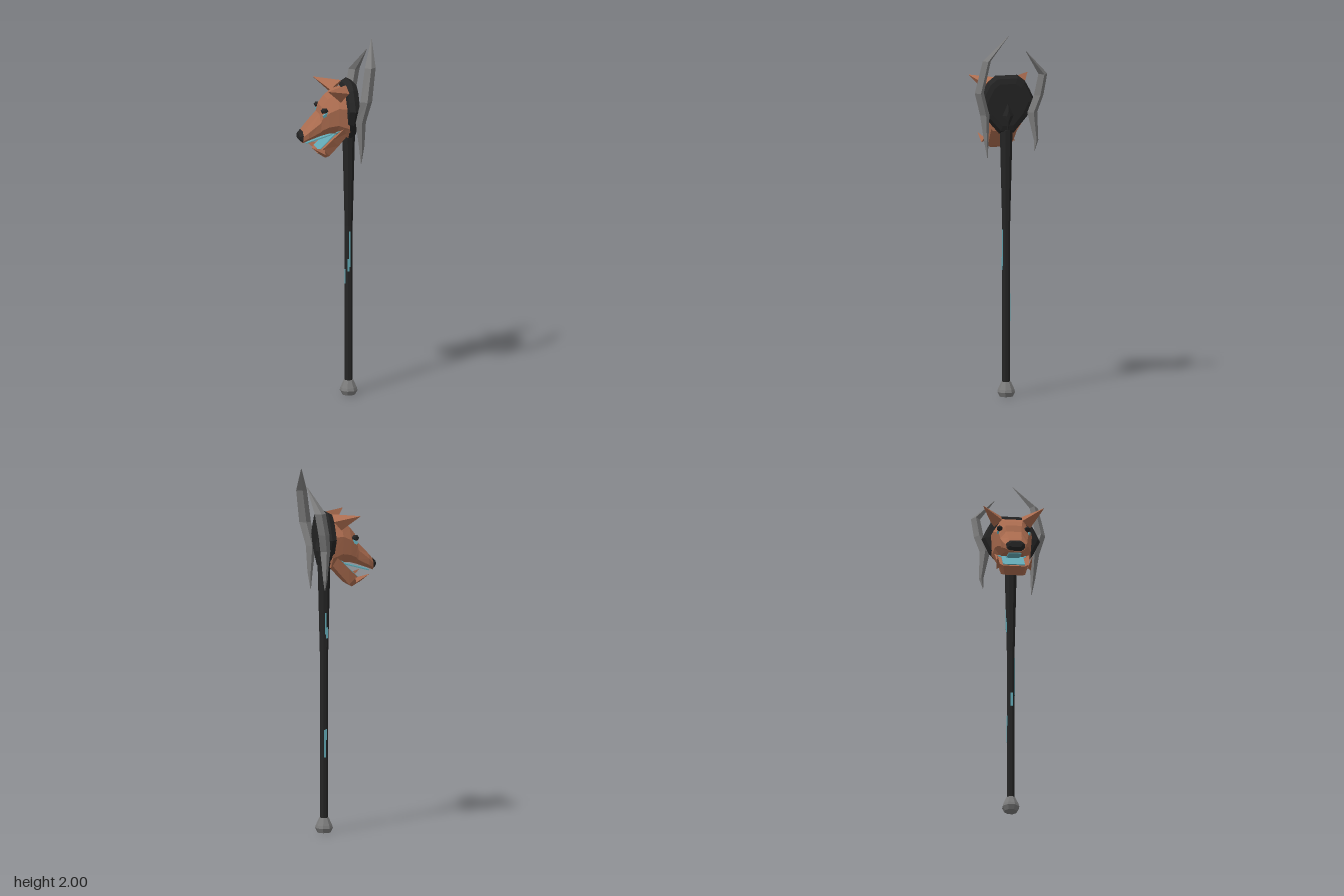
import * as THREE from 'three';

const mat = (name, color) => Object.assign(new THREE.MeshStandardMaterial({ color }), { name });
const V = (x, y, z) => new THREE.Vector3(x, y, z);
const SX = 0.079; // shaft axis

// Flat-faced copy of a geometry
function facet(geo) {
  const g = geo.index ? geo.toNonIndexed() : geo;
  g.computeVertexNormals();
  return g;
}

// Closed, flat-shaded skin over rings of equal point count
function loft(rings) {
  const tris = [];
  const n = rings[0].length;
  for (let r = 0; r < rings.length - 1; r++) {
    for (let i = 0; i < n; i++) {
      const j = (i + 1) % n;
      const [a, b, c, d] = [rings[r][i], rings[r][j], rings[r + 1][j], rings[r + 1][i]];
      tris.push([a, b, c], [a, c, d]);
    }
  }
  const last = rings[rings.length - 1];
  for (let i = 1; i < n - 1; i++) {
    tris.push([rings[0][0], rings[0][i + 1], rings[0][i]], [last[0], last[i], last[i + 1]]);
  }
  // Turn faces outward whatever the ring direction
  const o = rings[0][0];
  const volume = tris.reduce((s, [a, b, c]) =>
    s + a.clone().sub(o).dot(b.clone().sub(o).cross(c.clone().sub(o))), 0);
  const pts = tris.flatMap(([a, b, c]) => (volume < 0 ? [a, c, b] : [a, b, c]));
  return facet(new THREE.BufferGeometry().setFromPoints(pts));
}

// Head section across x: flat crown, wide cheeks, narrow underside
function headRing([x, top, bot, w]) {
  const h = top - bot;
  const half = [[0.55, top], [1, top - 0.35 * h], [0.92, bot + 0.22 * h], [0.6, bot]];
  const left = half.map(([k, y]) => V(x, y, k * w));
  const right = half.map(([k, y]) => V(x, y, -k * w)).reverse();
  return [...left, ...right];
}

// Diamond section of a horn blade
function hornRing([y, x0, x1, z0, z1]) {
  const x = (x0 + x1) / 2, z = (z0 + z1) / 2;
  return [V(x0, y, z), V(x, y, z1), V(x1, y, z), V(x, y, z0)];
}

export function createModel() {
  const dark = mat('blackWood', 0x242424);
  const brown = mat('brownHide', 0xab6c4f);
  const steel = mat('greyHorn', 0x7c7c7c);
  const teal = mat('tealGlow', 0x62a9b5);

  const model = new THREE.Group();
  model.name = 'wolfHeadStaff';
  const core = new THREE.Group();
  core.name = 'staffAssembly';
  core.position.z = 0.007;
  model.add(core);
  const add = (name, geo, material, parent = core) => {
    const m = new THREE.Mesh(geo, material);
    m.name = name;
    parent.add(m);
    return m;
  };
  const lathe = pts =>
    facet(new THREE.LatheGeometry(pts.map(p => new THREE.Vector2(...p)), 8)
      .rotateY(Math.PI / 8).translate(SX, 0, 0));

  // Shaft and pommel
  add('shaft', lathe([[0, 0.06], [0.022, 0.06], [0.022, 0.95], [0.033, 1.4], [0.035, 1.47], [0, 1.5]]), dark);
  add('pommel', lathe([[0, 0], [0.036, 0], [0.049, 0.025], [0.045, 0.04], [0.026, 0.082], [0, 0.082]]), steel);

  // Glowing inlays: [centre y, height, x offset, z]
  const inlays = [
    [0.82, 0.2, 0.001, 0.0205], [0.73, 0.07, -0.006, 0.0205],
    [1.15, 0.12, -0.002, -0.0255], [1.10, 0.06, -0.009, -0.0245],
    [0.49, 0.15, 0.001, -0.0205], [0.54, 0.06, -0.006, -0.0205],
  ];
  for (const [y, h, dx, z] of inlays) {
    add('shaftInlay', facet(new THREE.BoxGeometry(0.009, h, 0.004).translate(SX + dx, y, z)), teal);
  }
  add('sideInlay', facet(new THREE.BoxGeometry(0.005, 0.08, 0.012).translate(SX - 0.0205, 0.665, 0.004)), teal);

  // Backing shield: faceted disc, thinner toward its rim
  const outline = [[0.062, 1.768], [0.105, 1.735], [0.135, 1.68], [0.16, 1.625],
    [0.12, 1.54], [0.042, 1.45]];
  const rim = [...outline, ...outline.map(([z, y]) => [-z, y]).reverse()];
  const shieldRing = ([x, s]) => rim.map(([z, y]) => V(x, 1.61 + (y - 1.61) * s, z * s));
  add('shield', loft([[0.043, 0.72], [0.05, 0.9], [0.079, 1], [0.108, 0.9], [0.115, 0.72]].map(shieldRing)), dark);
  add('shieldBoss', loft([[0.112, 0.036, 0.08], [0.128, 0.01, 0.03]].map(([x, w, h]) =>
    [V(x, 1.55 + h, 0), V(x, 1.55, w), V(x, 1.55 - h, 0), V(x, 1.55, -w)])), dark);

  // Horns: [y, x near, x far, z inner, z outer]
  const horns = {
    leftHorn: [
      [1.325, 0.117, 0.121, 0.115, 0.119], [1.42, 0.105, 0.135, 0.112, 0.138],
      [1.56, 0.085, 0.142, 0.105, 0.158], [1.685, 0.102, 0.168, 0.143, 0.194],
      [1.865, 0.135, 0.196, 0.112, 0.158], [2, 0.199, 0.202, 0.023, 0.027]],
    rightHorn: [
      [1.352, 0.117, 0.121, -0.146, -0.15], [1.41, 0.108, 0.132, -0.145, -0.17],
      [1.565, 0.085, 0.142, -0.11, -0.166], [1.66, 0.1, 0.162, -0.142, -0.196],
      [1.78, 0.125, 0.188, -0.16, -0.21], [1.915, 0.199, 0.202, -0.075, -0.079]],
  };
  for (const [name, sections] of Object.entries(horns)) add(name, loft(sections.map(hornRing)), steel);

  // Head
  const head = new THREE.Group();
  head.name = 'head';
  core.add(head);
  add('skullAndSnout', loft([
    [0.06, 1.725, 1.46, 0.115], [0, 1.715, 1.49, 0.105], [-0.05, 1.68, 1.488, 0.092],
    [-0.084, 1.64, 1.478, 0.08], [-0.095, 1.598, 1.474, 0.075],
    [-0.16, 1.53, 1.45, 0.066], [-0.187, 1.5, 1.438, 0.054]].map(headRing)), brown, head);
  add('nose', loft([[-0.186, 1.503, 1.44, 0.054], [-0.205, 1.487, 1.455, 0.036]].map(headRing)), dark, head);
  add('palate', facet(new THREE.BoxGeometry(0.16, 0.006, 0.07).rotateZ(0.27).translate(-0.09, 1.458, 0)), teal, head);

  // Lower jaw: [upper x, upper y, lower x, lower y, half width]
  const jaw = [[0.035, 1.525, 0.075, 1.5, 0.095], [-0.035, 1.458, 0.005, 1.42, 0.09],
    [-0.085, 1.41, -0.045, 1.365, 0.082], [-0.112, 1.385, -0.065, 1.352, 0.06]];
  add('lowerJaw', loft(jaw.map(([ux, uy, lx, ly, w]) =>
    [V(ux, uy, w), V(ux, uy, -w), V(lx, ly, -w * 0.8), V(lx, ly, w * 0.8)])), brown, head);
  add('mouthLining', facet(new THREE.BoxGeometry(0.17, 0.006, 0.12).rotateZ(0.76).translate(-0.04, 1.456, 0)), teal, head);
  add('throat', loft([[0.05, 1.55, 1.47, 0.085], [-0.01, 1.5, 1.478, 0.075]].map(headRing)), teal, head);

  for (const s of [1, -1]) {
    const side = s > 0 ? 'left' : 'right';
    // Ear: triangular base narrowing to a forward, outward point
    const tip = V(-0.08, 1.755, s * 0.168);
    const base = [V(-0.01, 1.705, s * 0.055), V(0.05, 1.755, s * 0.056),
      V(0.055, 1.72, s * 0.112), V(0.01, 1.67, s * 0.098)];
    add(side + 'Ear', loft([base, base.map(p => p.clone().lerp(tip, 0.97))]), brown, head);

    // Tusk rising from the jaw corner
    const fang = V(-0.152, 1.425, s * 0.095);
    const root = [V(-0.075, 1.405, s * 0.078), V(-0.1, 1.38, s * 0.074), V(-0.075, 1.38, s * 0.095)];
    add(side + 'Tusk', loft([root, root.map(p => p.clone().lerp(fang, 0.97))]), brown, head);

    // Brow and eye
    add(side + 'Brow', facet(new THREE.IcosahedronGeometry(0.02, 0).scale(1.15, 0.85, 0.9)
      .translate(-0.076, 1.623, s * 0.076)), dark, head);
    add(side + 'Eye', facet(new THREE.BoxGeometry(0.032, 0.016, 0.008).rotateZ(0.5)
      .rotateY(s * 0.3).translate(-0.072, 1.601, s * 0.084)), teal, head);
  }
  return model;
}
